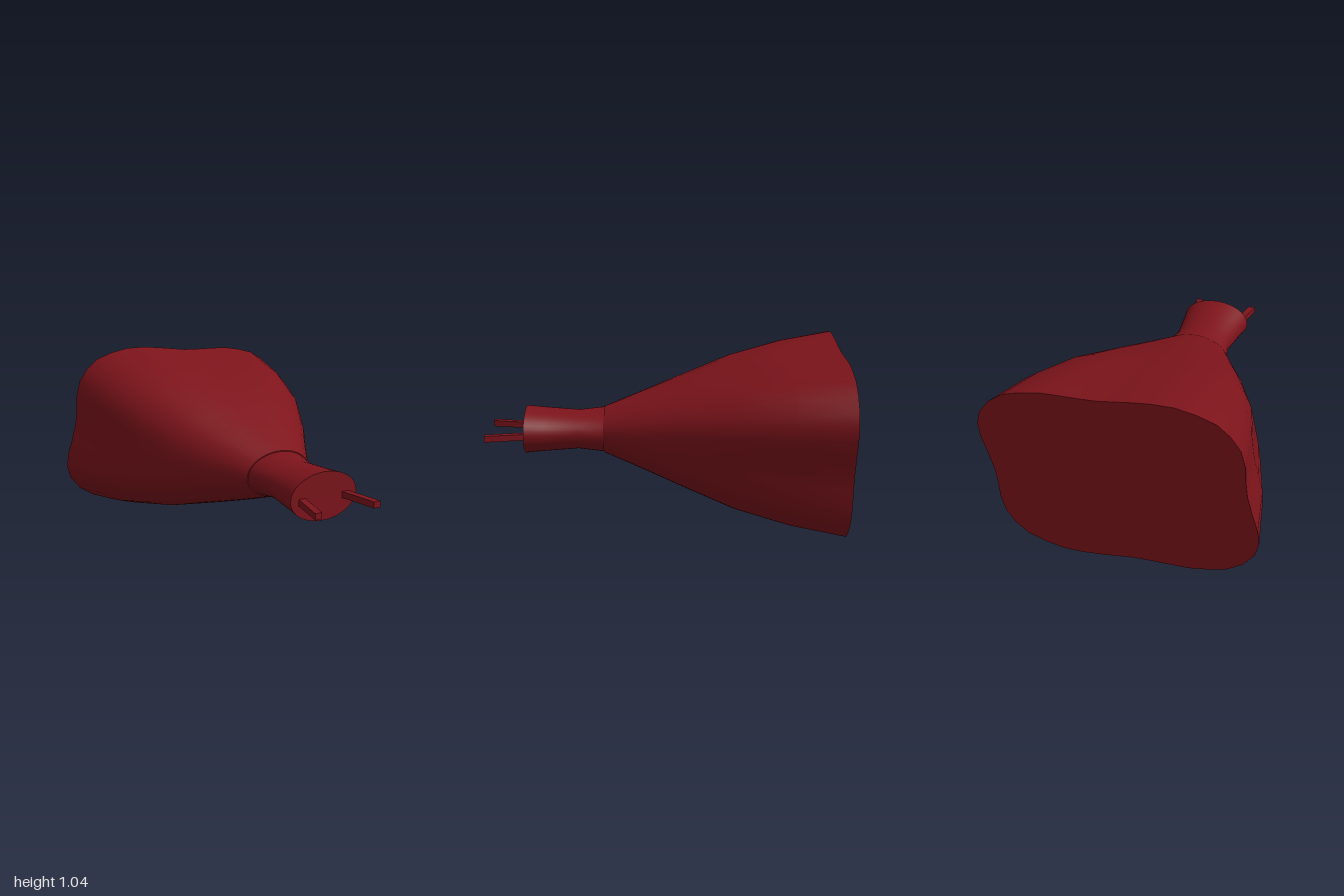
import * as THREE from 'three';
import { toCreasedNormals } from 'three/addons/utils/BufferGeometryUtils.js';

const CY = 0.519; // height of the central axis

// Half of the wavy mouth outline; the other half is its point reflection
const half = [
  [0.71, 0.03], [0.74, 0.12], [0.75, 0.2], [0.73, 0.28], [0.67, 0.355], [0.59, 0.41],
  [0.49, 0.44], [0.39, 0.46], [0.29, 0.465], [0.2, 0.468], [0.09, 0.474], [0, 0.488],
  [-0.1, 0.504], [-0.2, 0.516], [-0.31, 0.519], [-0.42, 0.5], [-0.52, 0.467],
  [-0.59, 0.41], [-0.64, 0.34], [-0.665, 0.25], [-0.67, 0.16], [-0.68, 0.08],
];
const mouth = [...half, ...half.map(([x, y]) => [-x, -y])]
  .map(([x, y]) => [x / 0.75, y / 0.519]);

// Cross-section between an ellipse (t = 0) and the wavy outline (t = 1)
function section([z, w, h, t]) {
  return mouth.map(([x, y]) => {
    const a = Math.atan2(y, x);
    return [
      w * THREE.MathUtils.lerp(Math.cos(a), x, t),
      CY + h * THREE.MathUtils.lerp(Math.sin(a), y, t),
      z,
    ];
  });
}

// Skin sections running from front to back and cap both ends
function loft(stations) {
  const n = mouth.length;
  const pos = stations.flatMap((s) => section(s).flat());
  const last = (stations.length - 1) * n;
  const front = stations.length * n;
  pos.push(0, CY, stations[0][0], 0, CY, stations[stations.length - 1][0]);
  const index = [];
  for (let j = 0; j < n; j++) {
    const k = (j + 1) % n;
    for (let r = 0; r < last; r += n) {
      index.push(r + j, r + n + j, r + k, r + k, r + n + j, r + n + k);
    }
    index.push(front, j, k, front + 1, last + k, last + j);
  }
  const geo = new THREE.BufferGeometry();
  geo.setAttribute('position', new THREE.Float32BufferAttribute(pos, 3));
  geo.setIndex(index);
  return toCreasedNormals(geo, 0.6);
}

export function createModel() {
  const group = new THREE.Group();
  const red = new THREE.MeshStandardMaterial({ color: 0x7d141b });
  const add = (name, geo) => {
    const mesh = new THREE.Mesh(geo, red);
    mesh.name = name;
    group.add(mesh);
    return mesh;
  };

  // Flared body: z, half width, half height, waviness
  add('flaredBody', loft([
    [0.33, 0.2, 0.13, 0],
    [0.1, 0.335, 0.217, 0.25],
    [-0.1, 0.455, 0.292, 0.45],
    [-0.4, 0.605, 0.4, 0.7],
    [-0.7, 0.697, 0.473, 0.87],
    [-1, 0.75, 0.519, 1],
  ]));

  // Waisted neck
  add('neck', loft([
    [0.78, 0.204, 0.132, 0],
    [0.68, 0.19, 0.123, 0],
    [0.48, 0.167, 0.108, 0],
    [0.32, 0.195, 0.126, 0],
  ]));

  // Two prongs, sheared outwards towards their tips
  for (const side of [1, -1]) {
    const geo = new THREE.BoxGeometry(0.04, 0.035, 0.24);
    geo.applyMatrix4(new THREE.Matrix4().makeShear(0, 0, 0, 0, side * 0.2, 0));
    const p = geo.attributes.position;
    for (let i = 0; i < p.count; i++) {
      const z = p.getZ(i);
      const x = Math.sign(p.getX(i) - side * 0.2 * z) * 0.02;
      p.setXYZ(i, x + side * 0.2 * z, p.getY(i), z);
    }
    geo.computeVertexNormals();
    add(side > 0 ? 'leftProng' : 'rightProng', geo).position.set(side * 0.154, 0.508, 0.88);
  }
  return group;
}
